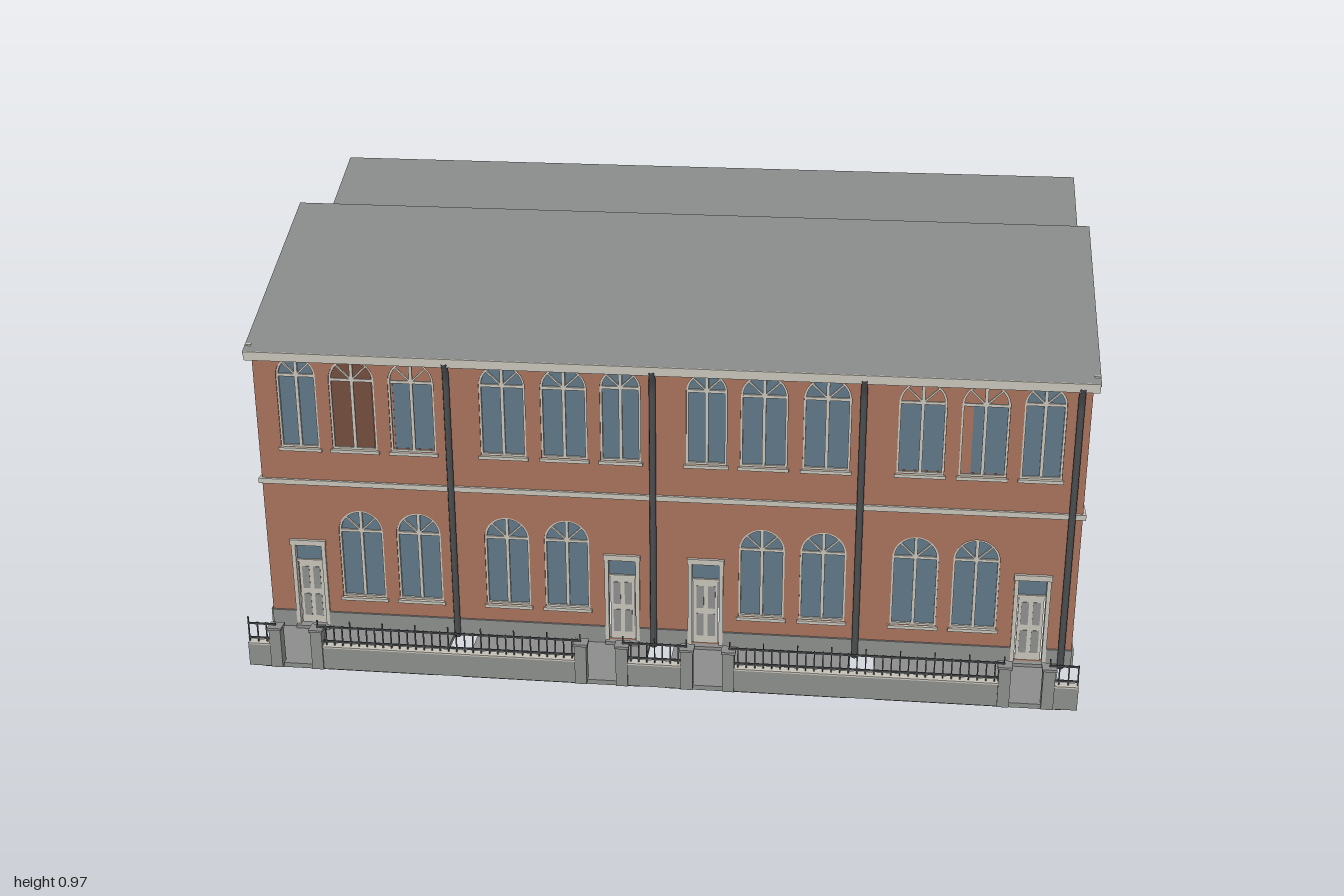
import * as THREE from 'three';

const mat = (name, color, both) => {
  const m = new THREE.MeshStandardMaterial({ color });
  m.name = name;
  if (both) m.side = THREE.DoubleSide;
  return m;
};

export function createModel() {
  const brick = mat('brick', 0xa5705b, true);
  const cream = mat('cream trim', 0xc4c1b7, true);
  const stone = mat('grey stone', 0x8b8d8b);
  const slate = mat('roof slate', 0x838584, true);
  const glass = mat('window glass', 0x5e7585, true);
  const iron = mat('dark iron', 0x4a4d4f);

  const model = new THREE.Group();
  const add = (name, geo, material, parent = model) => {
    const mesh = new THREE.Mesh(geo, material);
    mesh.name = name;
    parent.add(mesh);
    return mesh;
  };
  // Box given by its limits on each axis
  const box = (name, m, x0, x1, y0, y1, z0, z1, parent) => {
    const g = new THREE.BoxGeometry(x1 - x0, y1 - y0, z1 - z0);
    g.translate((x0 + x1) / 2, (y0 + y1) / 2, (z0 + z1) / 2);
    return add(name, g, m, parent);
  };
  const group = (name) => {
    const g = new THREE.Group();
    g.name = name;
    model.add(g);
    return g;
  };
  // Profile of [z, y] points swept along x
  const sweepX = (name, m, pts, x0, x1, parent) => {
    const s = new THREE.Shape(pts.map(([z, y]) => new THREE.Vector2(-z, y)));
    const g = new THREE.ExtrudeGeometry(s, { depth: x1 - x0, bevelEnabled: false });
    g.rotateY(Math.PI / 2).translate(x0, 0, 0);
    return add(name, g, m, parent);
  };
  const outline = (target, x0, x1, y0, y1) => {
    target.moveTo(x0, y0).lineTo(x1, y0).lineTo(x1, y1).lineTo(x0, y1).closePath();
    return target;
  };
  // Round-headed opening, inset all round by i
  const arch = (target, x, w, y0, top, i = 0) => {
    const r = w / 2 - i, spring = top - w / 2;
    target.moveTo(x - r, y0 + i).lineTo(x + r, y0 + i).lineTo(x + r, spring);
    target.absarc(x, spring, r, 0, Math.PI, false);
    target.closePath();
    return target;
  };
  const extrudeZ = (shape, z0, z1) => {
    const g = new THREE.ExtrudeGeometry(shape, { depth: z1 - z0, bevelEnabled: false, curveSegments: 10 });
    return g.translate(0, 0, z0);
  };

  const W = 0.985, F = 0.39, B = -0.57, T = 0.012;

  // Openings of the front, mirrored about the middle
  const windows = [], doors = [];
  for (const s of [-1, 1]) {
    for (const [x, w] of [[0.102, 0.096], [0.237, 0.11], [0.384, 0.11], [0.603, 0.11], [0.747, 0.11], [0.882, 0.096]]) {
      windows.push({ x: s * x, w, y0: 0.497, top: 0.73, open: w > 0.1 && x > 0.5 });
      if (w > 0.1) windows.push({ x: s * x, w, y0: 0.1, top: 0.335 });
    }
    doors.push(s * 0.102, s * 0.882);
  }
  const backWindows = [];
  for (const x of [-0.84, -0.633, 0.633, 0.84])
    for (const y of [0.1, 0.495]) backWindows.push({ x, y });

  // Front wall
  const front = outline(new THREE.Shape(), -W, W, 0.01, 0.745);
  for (const o of windows) front.holes.push(arch(new THREE.Path(), o.x, o.w, o.y0, o.top));
  for (const x of doors) front.holes.push(outline(new THREE.Path(), x - 0.036, x + 0.036, 0.02, 0.24));
  add('frontWall', extrudeZ(front, F - T, F), brick);

  // Back wall, rising to the rear ridge
  const back = outline(new THREE.Shape(), -W, W, 0.01, 0.94);
  for (const { x, y } of backWindows)
    back.holes.push(outline(new THREE.Path(), x - 0.07, x + 0.07, y, y + 0.205));
  add('backWall', extrudeZ(back, B, B + T), brick);
  box('middleRidgeWall', brick, -W, W, 0.74, 0.94, -0.088, -0.076);

  // Side walls with saw-tooth gables
  const gable = [[F, 0.01], [F, 0.745], [-0.088, 0.942], [-0.088, 0.745], [B, 0.942], [B, 0.01]];
  sweepX('rightWall', brick, gable, -W, -W + T);
  sweepX('leftWall', brick, gable, W - T, W);

  // Two parallel roof slopes: slate over a cream edge board
  for (const [n, z0] of [['frontRoof', 0.41], ['rearRoof', -0.068]]) {
    const z1 = z0 - 0.522, y0 = 0.745, y1 = 0.966;
    sweepX(n, slate, [[z0, y0], [z1, y1], [z1, y1 - 0.005], [z0, y0 - 0.005]], -1, 1);
    sweepX(n + 'EdgeBoard', cream, [[z0, y0 - 0.005], [z1, y1 - 0.005], [z1 + 0.002, y1 - 0.021], [z0, y0 - 0.021]], -0.998, 0.998);
  }
  for (const s of [-1, 1])
    for (const z of [-0.084, B + 0.005]) {
      const x = s * (W - 0.002);
      box('gableCornerBoard', cream, x - 0.006, x + 0.006, 0.755, 0.935, z - 0.007, z + 0.005);
    }

  // Horizontal bands on every side
  const ring = (name, m, y0, y1, p, withFront = true) => {
    const g = group(name);
    if (withFront) box(name + 'Front', m, -W - p, W + p, y0, y1, F, F + p, g);
    box(name + 'Back', m, -W - p, W + p, y0, y1, B - p, B, g);
    for (const s of [-1, 1]) box(name + 'Side', m, s * (W + p / 2) - p / 2, s * (W + p / 2) + p / 2, y0, y1, B, F, g);
  };
  ring('stringCourse', cream, 0.401, 0.414, 0.007);
  ring('cornice', cream, 0.727, 0.75, 0.006, false);
  ring('corniceLip', cream, 0.75, 0.757, 0.014, false);
  ring('plinth', stone, 0.01, 0.056, 0.005, false);
  const edges = [-W, -0.924, -0.84, -0.144, -0.06, 0.06, 0.144, 0.84, 0.924, W];
  for (let i = 0; i < edges.length; i += 2)
    box('frontPlinth', stone, edges[i], edges[i + 1], 0.01, 0.056, F, F + 0.005);
  box('gutter', cream, -0.998, 0.998, 0.732, 0.746, F, 0.412);

  // Arched windows
  for (const { x, w, y0, top, open } of windows) {
    const g = group('archedWindow');
    if (!open) {
      const pane = new THREE.ShapeGeometry(arch(new THREE.Shape(), x, w, y0, top), 10);
      add('glass', pane.translate(0, 0, F - T + 0.001), glass, g);
    }
    const frame = arch(new THREE.Shape(), x, w, y0, top);
    frame.holes.push(arch(new THREE.Path(), x, w, y0, top, 0.005));
    add('frame', extrudeZ(frame, F - 0.009, F - 0.003), cream, g);
    const spring = top - w / 2;
    box('mullion', cream, x - 0.004, x + 0.004, y0, top - 0.003, F - 0.009, F - 0.004, g);
    box('transom', cream, x - w / 2, x + w / 2, spring - 0.004, spring + 0.003, F - 0.009, F - 0.004, g);
    for (const s of [-1, 1]) {
      const bar = new THREE.BoxGeometry(0.004, w / 2 - 0.003, 0.005);
      bar.translate(0, w / 4, 0).rotateZ(s * 0.8).translate(x, spring, F - 0.0065);
      add('fanBar', bar, cream, g);
    }
    box('sill', cream, x - w / 2 - 0.005, x + w / 2 + 0.005, y0 - 0.008, y0, F - 0.01, F + 0.006, g);
  }

  // Doors with fanlight and surround
  for (const x of doors) {
    const g = group('frontDoor');
    box('doorLeaf', cream, x - 0.03, x + 0.03, 0.02, 0.192, F - T, F - 0.006, g);
    box('fanlight', glass, x - 0.036, x + 0.036, 0.192, 0.24, F - T, F - 0.008, g);
    box('doorTransom', cream, x - 0.036, x + 0.036, 0.188, 0.195, F - T, F - 0.003, g);
    for (const s of [-1, 1]) {
      box('doorPost', cream, x + s * 0.038 - 0.005, x + s * 0.038 + 0.005, 0.02, 0.24, F - T, F + 0.005, g);
      for (const y of [0.04, 0.115])
        box('doorPanel', stone, x + s * 0.014 - 0.009, x + s * 0.014 + 0.009, y, y + 0.06, F - 0.006, F - 0.005, g);
    }
    box('doorHead', cream, x - 0.045, x + 0.045, 0.238, 0.252, F - T, F + 0.008, g);
    box('doorStep', stone, x - 0.042, x + 0.042, 0.01, 0.02, F - T, F + 0.015, g);
  }

  // Rear windows: three lights, lintel and sill
  for (const { x, y } of backWindows) {
    const g = group('rearWindow');
    box('glass', glass, x - 0.07, x + 0.07, y, y + 0.205, B + 0.008, B + 0.011, g);
    for (const d of [-0.066, -0.022, 0.022, 0.066])
      box('mullion', cream, x + d - 0.004, x + d + 0.004, y, y + 0.205, B + 0.002, B + 0.008, g);
    box('bottomRail', cream, x - 0.07, x + 0.07, y, y + 0.008, B + 0.002, B + 0.008, g);
    box('lintel', cream, x - 0.078, x + 0.078, y + 0.2, y + 0.218, B - 0.005, B + 0.006, g);
    box('sill', cream, x - 0.076, x + 0.076, y - 0.008, y, B - 0.007, B + 0.006, g);
  }

  // Downpipes with an offset at the gutter
  for (const x of [-0.515, -0.025, 0.467, 0.96]) {
    const path = new THREE.CurvePath();
    const p = [[0.01, 0.397], [0.705, 0.397], [0.735, 0.408]].map(([y, z]) => new THREE.Vector3(x, y, z));
    path.add(new THREE.LineCurve3(p[0], p[1]));
    path.add(new THREE.LineCurve3(p[1], p[2]));
    add('downpipe', new THREE.TubeGeometry(path, 24, 0.008, 8), iron);
  }

  // Paving in front of each house
  for (const [a, b] of [[-0.957, -0.525], [-0.465, -0.035], [0.025, 0.457], [0.517, 0.95]])
    box('paving', stone, a, b, 0, 0.012, F - 0.005, 0.58);

  // Garden wall, coping and railings, broken by the gateways
  for (const [a, b] of [[-W, -0.916], [-0.815, -0.175], [-0.077, 0.077], [0.175, 0.815], [0.916, W]]) {
    const g = group('gardenFence');
    box('gardenWall', stone, a, b, 0.005, 0.062, 0.569, 0.587, g);
    box('coping', cream, a, b, 0.062, 0.066, 0.567, 0.589, g);
    for (const y of [0.074, 0.112]) box('rail', iron, a, b, y, y + 0.004, 0.576, 0.58, g);
    const n = Math.max(2, Math.round((b - a) / 0.02));
    for (let i = 0; i <= n; i++) {
      const x = a + 0.002 + (b - a - 0.004) * i / n;
      box('baluster', iron, x - 0.0015, x + 0.0015, 0.064, i % 4 ? 0.118 : 0.131, 0.5765, 0.5795, g);
    }
  }
  for (const s of [-1, 1])
    for (const x of [0.077, 0.175, 0.815, 0.916]) {
      box('gatePillar', stone, s * x - 0.014, s * x + 0.014, 0.005, 0.105, 0.563, 0.591);
      box('pillarCap', stone, s * x - 0.017, s * x + 0.017, 0.105, 0.111, 0.56, 0.594);
    }

  return model;
}
